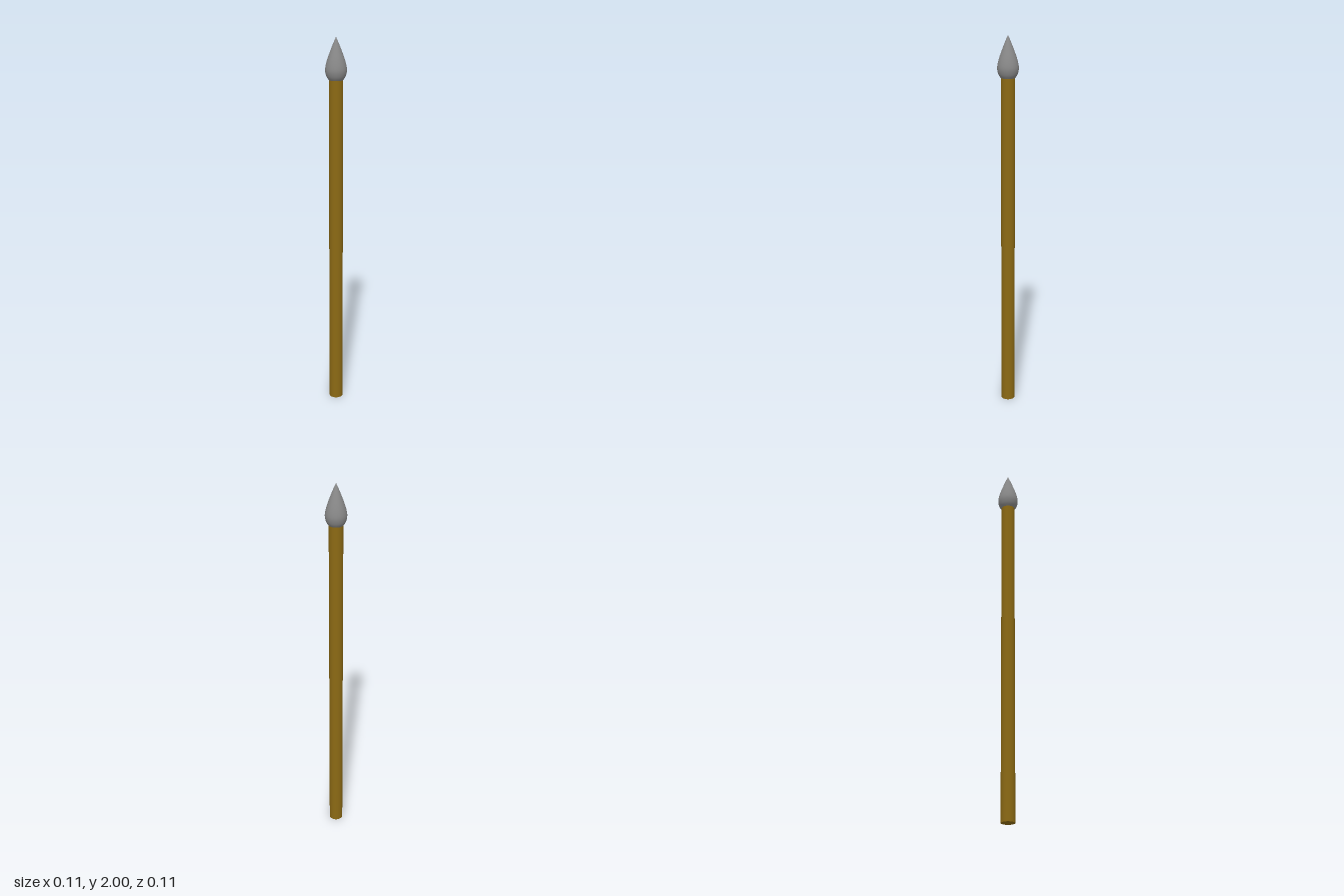
import * as THREE from 'three';

const SEGMENTS = 32;

function addPart(group, name, geometry, color) {
  const mesh = new THREE.Mesh(geometry, new THREE.MeshStandardMaterial({ color }));
  mesh.name = name;
  group.add(mesh);
  return mesh;
}

export function createModel() {
  const group = new THREE.Group();
  group.name = 'spear';

  // Straight round wooden shaft, its top tucked inside the head
  const shaftHeight = 1.8;
  const shaft = addPart(group, 'shaft',
    new THREE.CylinderGeometry(0.036, 0.036, shaftHeight, SEGMENTS), 0x8b6914);
  shaft.position.y = shaftHeight / 2;

  // Teardrop head: bulging near the base, tapering to a sharp point
  const profile = new THREE.SplineCurve([
    [0.037, 1.786], [0.048, 1.803], [0.0545, 1.828], [0.053, 1.853],
    [0.044, 1.888], [0.029, 1.93], [0.014, 1.968], [0, 2],
  ].map(([r, y]) => new THREE.Vector2(r, y))).getPoints(28);
  profile[profile.length - 1].set(0, 2);
  addPart(group, 'head', new THREE.LatheGeometry(profile, SEGMENTS), 0x888888);

  // Flat underside closing the head around the shaft
  const base = addPart(group, 'headBase', new THREE.CircleGeometry(0.037, SEGMENTS), 0x888888);
  base.rotation.x = Math.PI / 2;
  base.position.y = 1.786;

  return group;
}
